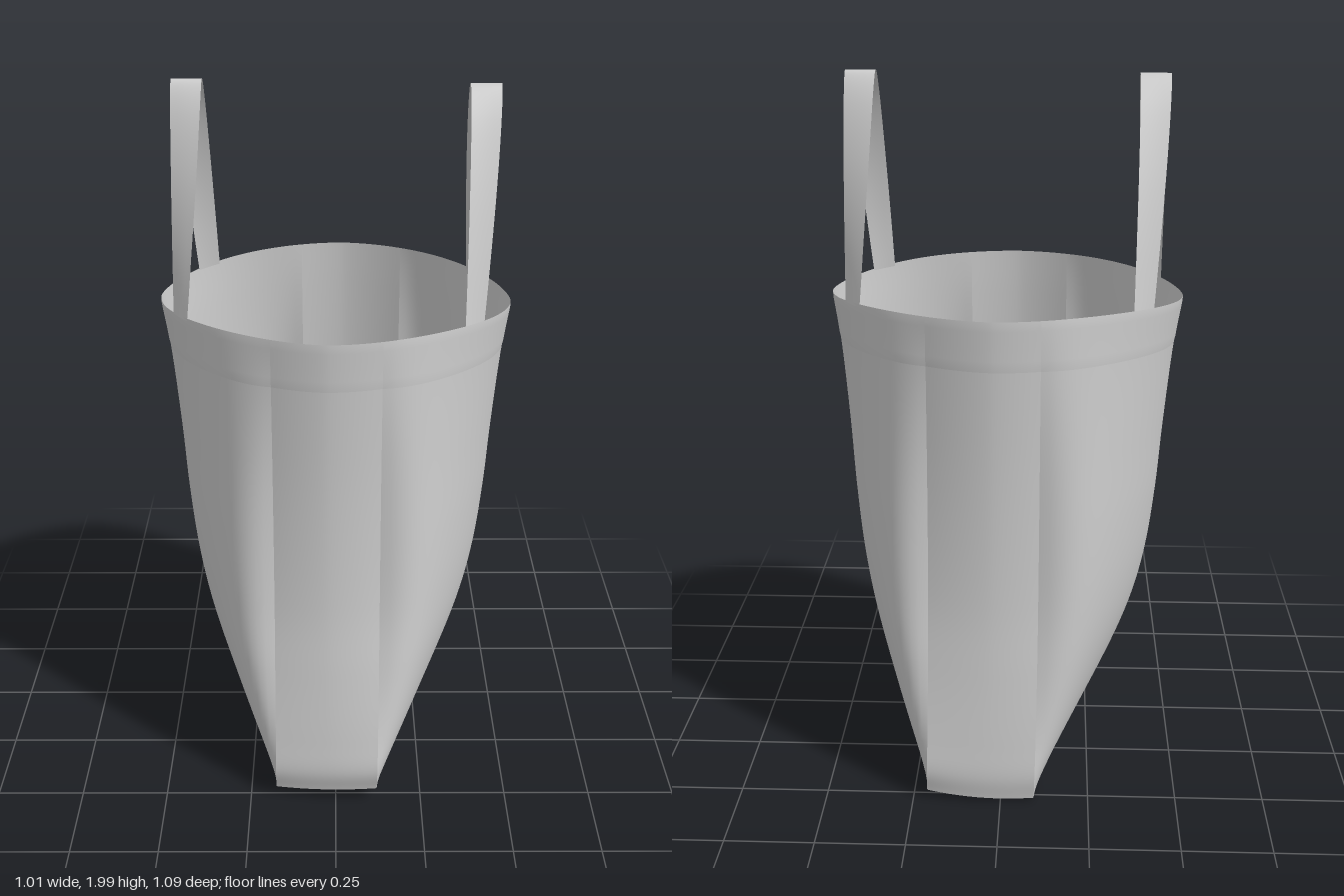
import * as THREE from 'three';

const lerp = THREE.MathUtils.lerp;
const material = new THREE.MeshStandardMaterial({ color: 0xcccccc, roughness: 0.8, side: THREE.DoubleSide });

// Smooth surface from a function of u and v (u x v points outward)
function grid(name, nu, nv, fn) {
  const pos = [], index = [];
  for (let j = 0; j <= nv; j++)
    for (let i = 0; i <= nu; i++) pos.push(...fn(i / nu, j / nv));
  for (let j = 0; j < nv; j++)
    for (let i = 0; i < nu; i++) {
      const a = j * (nu + 1) + i, b = a + nu + 1;
      index.push(a, a + 1, b + 1, a, b + 1, b);
    }
  const g = new THREE.BufferGeometry();
  g.setAttribute('position', new THREE.Float32BufferAttribute(pos, 3));
  g.setIndex(index);
  g.computeVertexNormals();
  const mesh = new THREE.Mesh(g, material);
  mesh.name = name;
  return mesh;
}

// Floor: skewed quad, arched from front to back, sagging near the back (v = 0)
const FL = [-0.175, 0.035, 0.505], FR = [0.12, 0.052, 0.535];
const BL = [-0.095, 0.016, -0.53], BR = [0.21, 0.032, -0.525];
function floorPoint(u, v) {
  const p = [0, 1, 2].map(k => lerp(lerp(BL[k], BR[k], u), lerp(FL[k], FR[k], u), v));
  const bu = 4 * u * (1 - u), bv = 4 * v * (1 - v);
  p[1] += 0.028 * bv - bu * (0.006 * (1 - v) + 0.08 * bv * (1 - v) ** 2);
  p[2] += (v - 0.5) * 0.02 * bu;
  return p;
}

// Rim: slightly pointed, skewed oval that dips at the sides
const A = 0.505, B = 0.4275, N = 1.72, ZC = -0.025, SHEAR = 0.05, SKEW = 0.06;
const spow = (c, e) => Math.sign(c) * Math.abs(c) ** e;
function rimPoint(angle) {
  const x = A * spow(Math.cos(angle), 2 / N), z = B * spow(Math.sin(angle), 2 / N);
  return [x - SKEW * z, 1.402 - 0.025 * (x / A) ** 4, ZC + SHEAR * x + z];
}
const rimAngle = x => Math.acos(spow(x / A, N / 2));
const rimX = (side, z) => {
  const rz = z - ZC - SHEAR * side * 0.37;
  return side * A * (1 - Math.abs(rz / B) ** N) ** (1 / N) - SKEW * rz;
};

// Height, then how far x and z have gone from the floor outline to the rim
const blend = new THREE.CatmullRomCurve3([
  [0, 0, 0], [0.05, 0.2, -0.08], [0.12, 0.4, 0.04], [0.27, 0.65, 0.36], [0.41, 0.775, 0.64],
  [0.56, 0.84, 0.82], [0.71, 0.88, 0.93], [0.9, 0.945, 0.99], [1, 1, 1],
].map(p => new THREE.Vector3(...p)));
const HEM = 7 / 8;

const corners = [rimAngle(-0.15), rimAngle(0.15), -rimAngle(0.18), -rimAngle(-0.13), rimAngle(-0.15) - 2 * Math.PI];
const panels = [
  ['front', u => floorPoint(u, 1)],
  ['left', u => floorPoint(1, 1 - u)],
  ['back', u => floorPoint(1 - u, 0)],
  ['right', u => floorPoint(0, u)],
];

function wallPoint(k, u, v) {
  const low = panels[k][1](u), high = rimPoint(lerp(corners[k], corners[k + 1], u));
  const s = blend.getPoint(v);
  const p = [lerp(low[0], high[0], s.y), lerp(low[1], high[1], s.x), lerp(low[2], high[2], s.z)];
  if (k % 2) {
    // Side panels fill out next to the corners
    const c = 2 * u - 1, t = THREE.MathUtils.clamp(s.x, 0, 1);
    const bulge = 0.07 * c * c * (1 - c ** 8) * Math.sin(Math.PI * t ** 0.75);
    const side = k === 1 ? 1 : -1;
    p[0] += side * bulge;
    p[2] -= side * Math.sign(c) * bulge;
  }
  return p;
}

// Strap: flat ribbon in a pointed arch, feet on the rim
const arch = new THREE.CatmullRomCurve3([
  [-1, 1.385], [-0.8, 1.57], [-0.55, 1.76], [-0.28, 1.92], [-0.09, 1.99], [0, 2],
  [0.09, 1.99], [0.28, 1.92], [0.55, 1.76], [0.8, 1.57], [1, 1.385],
].map(([d, y]) => new THREE.Vector3(d, y, 0)));

function strap(name, side, zFront, zBack) {
  const apexZ = (zFront + zBack) / 2;
  return grid(name, 4, 64, (w, v) => {
    // w runs across the ribbon from its inner to its outer edge
    const { x: d, y } = arch.getPoint(v);
    const footZ = d > 0 ? zFront - 0.06 * w : zBack + 0.06 * w;
    const footX = rimX(side, footZ);
    const apexX = side * lerp(0.365, 0.45, w);
    const z = apexZ + Math.abs(d) * (footZ - apexZ);
    return [lerp(apexX, footX, d * d), y, z];
  });
}

export function createModel() {
  const bag = new THREE.Group();
  bag.name = 'toteBag';

  bag.add(grid('floor', 16, 32, floorPoint));

  // Four fabric panels, each with a folded hem along the rim
  panels.forEach(([name], k) => {
    const nu = k % 2 ? 64 : 20;
    bag.add(grid(name + 'Panel', nu, 64, (u, v) => wallPoint(k, u, v)));
    bag.add(grid(name + 'Hem', nu, 10, (u, v) => {
      const [x, y, z] = wallPoint(k, u, lerp(HEM, 1, v));
      const grow = v > 0 && v < 1 ? 1.003 : 1;
      return [x * grow, y, z * grow];
    }));
  });

  bag.add(strap('leftStrap', 1, 0.25, -0.25));
  bag.add(strap('rightStrap', -1, 0.185, -0.3));
  return bag;
}
